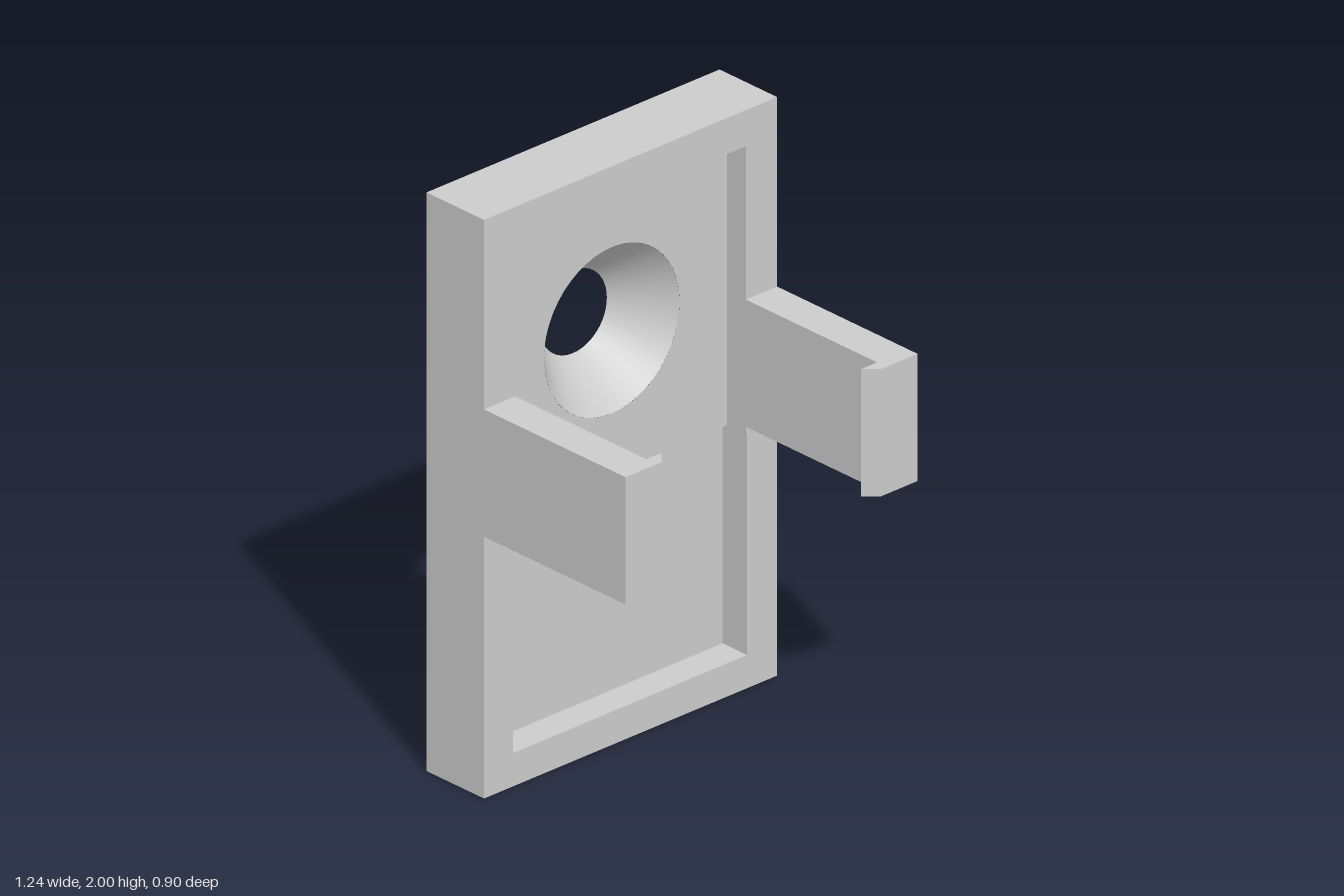
import * as THREE from 'three';

const BACK = -0.45, FRONT = -0.19, UPPER = -0.275, LOWER = -0.3;
const HOLE_Y = 1.375, R_FRONT = 0.287, R_BACK = 0.143, SEGMENTS = 48;
const plate = [[-0.62, 0], [0.62, 0], [0.62, 2], [-0.62, 2]];
const upper = [[-0.49, 0.88], [-0.49, 1.875], [0.488, 1.875], [0.488, 0.88]];
const lower = [[0.488, 0.88], [0.493, 0.88], [0.493, 0.115], [-0.497, 0.115], [-0.497, 0.88], [-0.49, 0.88]];

const toVectors = (pts) => pts.map(([x, y]) => new THREE.Vector2(x, y));

export function createModel() {
  const model = new THREE.Group();
  const material = new THREE.MeshStandardMaterial({ color: 0xcccccc });
  const add = (name, geometry, mat = material) => {
    const mesh = new THREE.Mesh(geometry, mat);
    mesh.name = name;
    model.add(mesh);
    return mesh;
  };

  // Flat face with an optional hole
  const face = (pts, hole) => {
    const shape = new THREE.Shape(toVectors(pts));
    if (hole) shape.holes.push(hole);
    return new THREE.ShapeGeometry(shape, SEGMENTS);
  };
  const circle = (r) => new THREE.Path().absarc(0, HOLE_Y, r, 0, Math.PI * 2, true);

  // Straight walls along an outline, facing to the right of its direction
  const walls = (pts, z0, z1) => {
    const v = [];
    for (let i = 0; i < pts.length - 1; i++) {
      const [a, b] = [pts[i], pts[i + 1]];
      v.push(...a, z0, ...b, z0, ...b, z1, ...a, z0, ...b, z1, ...a, z1);
    }
    const g = new THREE.BufferGeometry();
    g.setAttribute('position', new THREE.Float32BufferAttribute(v, 3));
    g.computeVertexNormals();
    return g;
  };

  // Plate
  add('plateSides', walls([...plate, plate[0]], BACK, FRONT));
  add('plateBack', face(plate, circle(R_BACK)).rotateY(Math.PI).translate(0, 0, BACK));
  const recess = new THREE.Path(toVectors([...upper, ...lower.slice(1, 5)]));
  add('plateRim', face(plate, recess).translate(0, 0, FRONT));

  // Two-level recess
  add('upperRecessWalls', walls(upper, UPPER, FRONT));
  add('lowerRecessWalls', walls(lower, LOWER, FRONT));
  add('recessStep', walls([upper[0], upper[3]], LOWER, UPPER));
  add('upperRecessFloor', face(upper, circle(R_FRONT)).translate(0, 0, UPPER));
  add('lowerRecessFloor', face(lower.slice(1, 5)).translate(0, 0, LOWER));

  // Countersunk screw hole
  const cone = new THREE.CylinderGeometry(R_FRONT, R_BACK, UPPER - BACK, SEGMENTS, 1, true)
    .rotateX(Math.PI / 2)
    .translate(0, HOLE_Y, (UPPER + BACK) / 2);
  const inside = material.clone();
  inside.side = THREE.DoubleSide;
  add('countersink', cone, inside);

  // Clip arms with hooked ends, drawn in plan and extruded upwards
  const arm = (name, side, tip, nose, end) => {
    const plan = [[0.62, FRONT], [0.62, end], [nose, end], [tip, 0.403], [0.488, 0.403], [0.488, FRONT]];
    const shape = new THREE.Shape(toVectors(plan.map(([x, z]) => [side * x, -z])));
    add(name, new THREE.ExtrudeGeometry(shape, { depth: 0.44, bevelEnabled: false })
      .rotateX(-Math.PI / 2)
      .translate(0, 0.905, 0));
  };
  arm('leftClipArm', 1, 0.42, 0.465, 0.445);
  arm('rightClipArm', -1, 0.423, 0.468, 0.45);

  return model;
}
